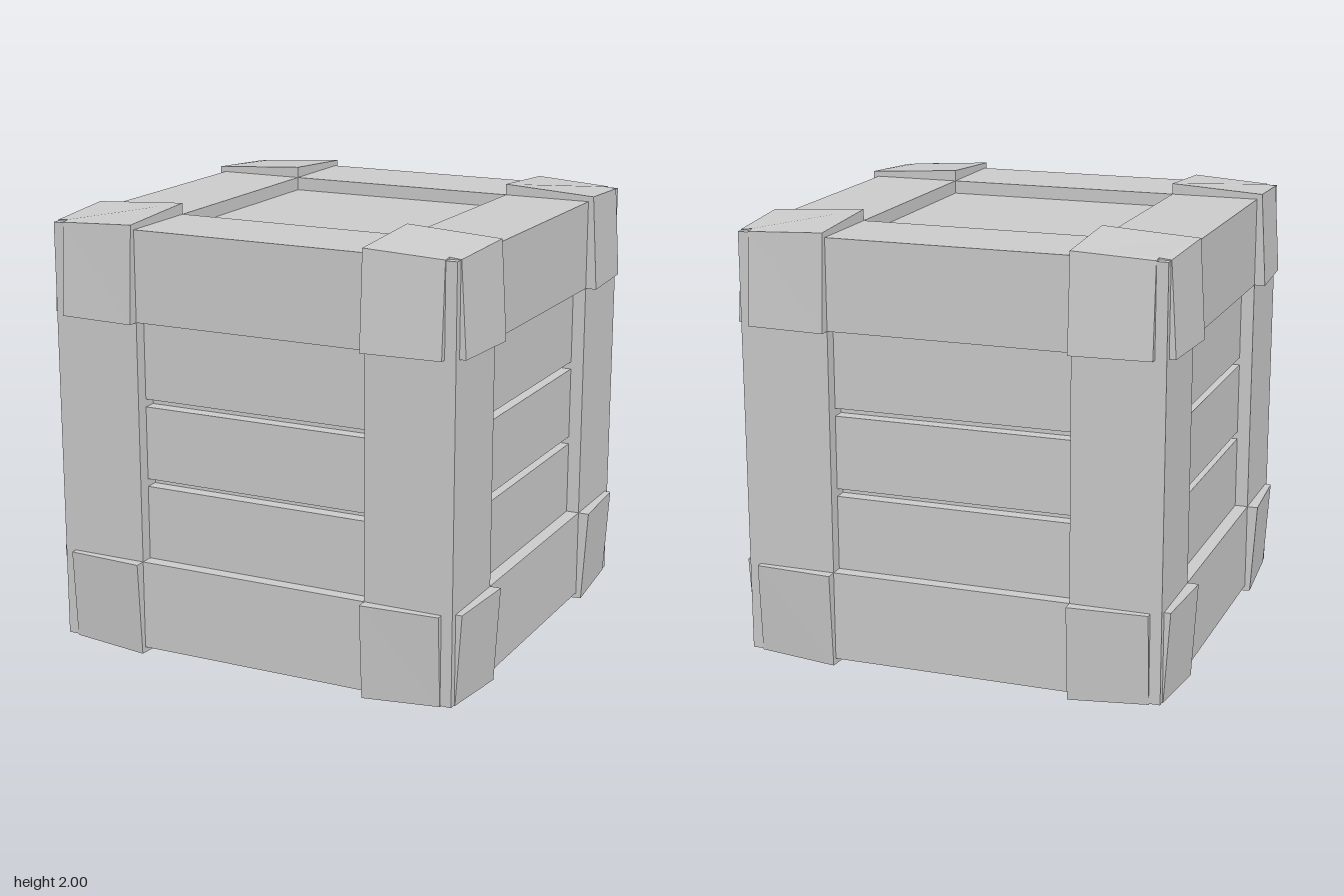
import * as THREE from 'three';

const OUT = 0.95;   // outer face of the frame beams, from the centre
const INN = 0.545;  // inner edge of the frame beams
const PANEL = 0.89; // face of the recessed planks
const CORE = 0.83;  // bottom of the grooves between planks

const material = new THREE.MeshStandardMaterial({ color: 0xcccccc, flatShading: true });

function addBox(parent, name, size, pos) {
  const mesh = new THREE.Mesh(new THREE.BoxGeometry(...size), material);
  mesh.name = name;
  mesh.position.set(...pos);
  parent.add(mesh);
  return mesh;
}

// Corner guard: a notched block whose three outer faces slope down to the corner
function cornerGeometry(sx, sy, sz) {
  const outline = [[INN, INN], [1, INN], [1, 0.915], [0.9, 0.915], [0.9, 1], [INN, 1]];
  const shape = new THREE.Shape(outline.map(([x, z]) => new THREE.Vector2(x * sx, -z * sz)));
  const geo = new THREE.ExtrudeGeometry(shape, { depth: 1 - INN, bevelEnabled: false });
  geo.rotateX(-Math.PI / 2);
  geo.translate(0, sy > 0 ? INN : -1, 0);
  const slope = (v) => 0.026 * (Math.abs(v) - INN) / (1 - INN);
  const p = geo.attributes.position;
  for (let i = 0; i < p.count; i++) {
    const v = [p.getX(i), p.getY(i), p.getZ(i)];
    const moved = v.map((c, k) => Math.abs(c) < 0.99 ? c
      : Math.sign(c) * (1 - slope(v[(k + 1) % 3]) - slope(v[(k + 2) % 3])));
    p.setXYZ(i, ...moved);
  }
  geo.computeVertexNormals();
  return geo;
}

export function createModel() {
  const crate = new THREE.Group();
  crate.name = 'crate';
  crate.position.y = 1;

  addBox(crate, 'core', [CORE * 2, CORE * 2, CORE * 2], [0, 0, 0]);

  // Frame: four posts and eight rails
  const w = OUT - INN, mid = (OUT + INN) / 2, len = INN * 2;
  for (const a of [-1, 1]) {
    for (const b of [-1, 1]) {
      addBox(crate, 'cornerPost', [w, OUT * 2, w], [a * mid, 0, b * mid]);
      addBox(crate, 'railAcross', [len, w, w], [0, a * mid, b * mid]);
      addBox(crate, 'railDeep', [w, w, len], [a * mid, b * mid, 0]);
    }
  }

  // Three planks on each of the four sides
  const planks = [[-INN, -0.21], [-0.175, 0.155], [0.19, INN]];
  const depth = PANEL - CORE + 0.02;
  for (let i = 0; i < 4; i++) {
    const side = new THREE.Group();
    side.name = 'plankSide';
    side.rotation.y = i * Math.PI / 2;
    for (const [y0, y1] of planks) {
      addBox(side, 'plank', [len, y1 - y0, depth], [0, (y0 + y1) / 2, PANEL - depth / 2]);
    }
    crate.add(side);
  }

  // Plain recessed lid and base
  addBox(crate, 'lidPanel', [len, depth, len], [0, PANEL - depth / 2, 0]);
  addBox(crate, 'basePanel', [len, depth, len], [0, -PANEL + depth / 2, 0]);

  // Eight corner guards
  for (const sx of [-1, 1]) for (const sy of [-1, 1]) for (const sz of [-1, 1]) {
    const guard = new THREE.Mesh(cornerGeometry(sx, sy, sz), material);
    guard.name = 'cornerGuard';
    crate.add(guard);
  }

  const model = new THREE.Group();
  model.name = 'woodenCrate';
  model.add(crate);
  return model;
}
